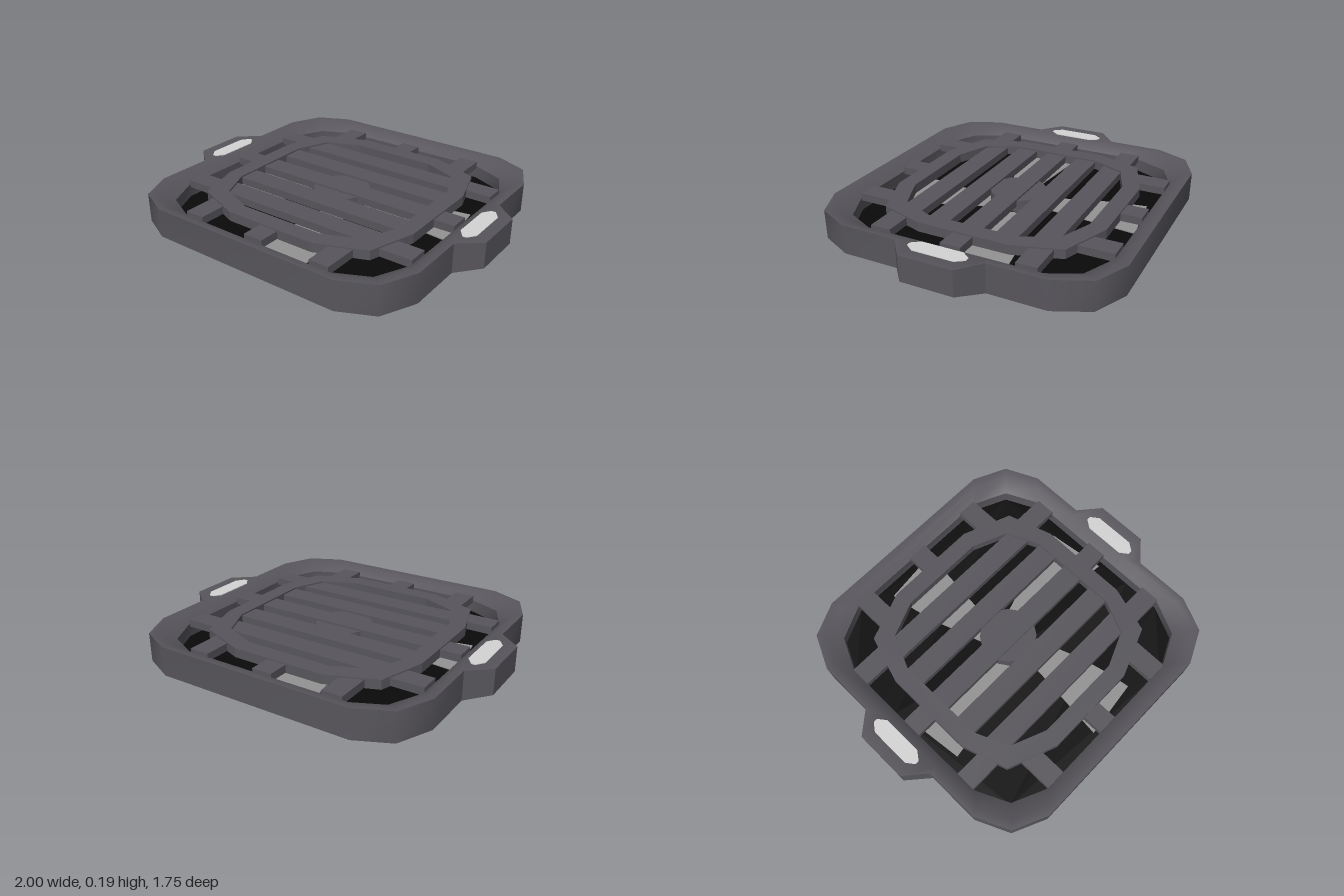
import * as THREE from 'three';
import { toCreasedNormals } from 'three/addons/utils/BufferGeometryUtils.js';

const paint = (name, color, side = THREE.FrontSide) => {
  const m = new THREE.MeshStandardMaterial({ color, side });
  m.name = name;
  return m;
};

// Mirror a quarter outline (from the +x side to the +z side) into a full loop of [x, z]
function mirrorLoop(quarter) {
  const back = [...quarter].reverse();
  return [
    ...quarter,
    ...back.map(([x, z, y]) => [-x, z, y]),
    ...quarter.map(([x, z, y]) => [-x, -z, y]),
    ...back.map(([x, z, y]) => [x, -z, y]),
  ];
}

// Skin rows of [x, y, z] points that all have the same length
function loft(rows, closed) {
  const n = rows[0].length, index = [];
  for (let r = 0; r < rows.length - 1; r++) {
    for (let i = 0; i < (closed ? n : n - 1); i++) {
      const a = r * n + i, b = r * n + (i + 1) % n;
      index.push(a, a + n, b, b, a + n, b + n);
    }
  }
  const g = new THREE.BufferGeometry();
  g.setAttribute('position', new THREE.Float32BufferAttribute(rows.flat(2), 3));
  g.setIndex(index);
  return toCreasedNormals(g, 0.75);
}

// Horizontal slab from an [x, z] outline, with an optional hole
function slab(outline, bottom, height, hole) {
  const pts = (loop) => loop.map(([x, z]) => new THREE.Vector2(x, -z));
  const shape = new THREE.Shape(pts(outline));
  if (hole) shape.holes.push(new THREE.Path(pts(hole)));
  const g = new THREE.ExtrudeGeometry(shape, { depth: height, bevelEnabled: false });
  return g.rotateX(-Math.PI / 2).translate(0, bottom, 0);
}

export function createModel() {
  const model = new THREE.Group();
  model.name = 'ventFan';
  const housing = paint('housingGrey', 0x58565c, THREE.DoubleSide);
  const black = paint('backingBlack', 0x0a0a0a, THREE.DoubleSide);
  const bladeGrey = paint('bladeGrey', 0x939393, THREE.DoubleSide);
  const padWhite = paint('padWhite', 0xd6d5d6);

  const add = (name, geometry, material, parent = model) => {
    const mesh = new THREE.Mesh(geometry, material);
    mesh.name = name;
    parent.add(mesh);
    return mesh;
  };
  const box = (name, w, h, d, x, y, z, parent) => {
    add(name, new THREE.BoxGeometry(w, h, d), housing, parent).position.set(x, y, z);
  };

  // Hollow frame: outer wall with side ears, flat rim, slope and inner wall
  const outer = mirrorLoop([[1, 0.155, 0.035], [0.875, 0.26, 0.015], [0.875, 0.59, 0.015],
    [0.785, 0.785, 0.015], [0.59, 0.875, 0.015]]);
  const rim = mirrorLoop([[0.83, 0.155], [0.83, 0.26], [0.83, 0.56], [0.75, 0.75], [0.56, 0.83]]);
  const opening = mirrorLoop([[0.77, 0.155], [0.77, 0.26], [0.77, 0.49], [0.68, 0.68], [0.485, 0.77]]);
  const at = (loop, y) => loop.map(([x, z]) => [x, y, z]);
  add('frame', loft([
    outer.map(([x, z, y]) => [x, y, z]), at(outer, 0.185), at(rim, 0.183),
    at(opening, 0.135), at(opening, 0.055),
  ], true), housing);

  // Pale pads on the ears
  for (const s of [-1, 1]) {
    const pad = mirrorLoop([[0.047, 0.12], [0.012, 0.168]]);
    add('earPad', slab(pad, 0.182, 0.006), padWhite).position.x = s * 0.885;
  }

  // Backing plate that closes the opening
  add('backingPlate', slab(opening, 0.055, 0.004), black);

  // Grille: ring, cross bars, hub and short ties to the frame
  const grille = new THREE.Group();
  grille.name = 'grille';
  model.add(grille);
  const ringOuter = mirrorLoop([[0.65, 0.27], [0.565, 0.54], [0.28, 0.65]]);
  const ringInner = mirrorLoop([[0.55, 0.27], [0.465, 0.465], [0.26, 0.55]]);
  add('grilleRing', slab(ringOuter, 0.115, 0.055, ringInner), housing, grille);
  for (const z of [-0.403, -0.204, 0, 0.204, 0.403]) {
    box('crossBar', Math.abs(z) > 0.3 ? 1.08 : 1.2, 0.045, 0.128, 0, 0.138, z, grille);
  }
  add('grilleHub', new THREE.CylinderGeometry(0.165, 0.165, 0.07, 16), housing, grille).position.y = 0.115;
  for (const s of [-1, 1]) {
    for (const offset of [-0.425, 0, 0.425]) {
      const inner = offset ? 0.53 : 0.6, length = 0.772 - inner, mid = s * (inner + length / 2);
      box('endTie', 0.12, 0.045, length, offset, 0.14, mid, grille);
      box('sideTie', length, 0.045, 0.12, mid, 0.14, offset, grille);
    }
  }

  // Fan: four swept blades with a skirt under the leading edge and tip
  const fan = new THREE.Group();
  fan.name = 'fan';
  model.add(fan);
  const edge = [[-0.12, -0.11, 0.02], [-0.17, -0.26, 0.004], [-0.22, -0.4, 0], [-0.255, -0.55, 0],
    [-0.28, -0.7, 0], [0.065, -0.74, 0.053]];
  const skirt = loft([edge.map(([x, z]) => [x, 0.056, z]), edge.map(([x, z, y]) => [x, y, z])], false);
  const bladeTop = slab([...edge, [0.02, -0.3], [0.01, -0.15]], 0.057, 0.008);
  for (let i = 0; i < 4; i++) {
    const blade = new THREE.Group();
    blade.name = 'blade';
    blade.rotation.y = -i * Math.PI / 2;
    add('bladeFace', bladeTop, bladeGrey, blade);
    add('bladeSkirt', skirt, bladeGrey, blade);
    fan.add(blade);
  }
  const hubRing = new THREE.CylinderGeometry(0.16, 0.16, 0.036, 24, 1, true);
  add('hubRing', hubRing, bladeGrey, fan).position.y = 0.038;

  return model;
}
